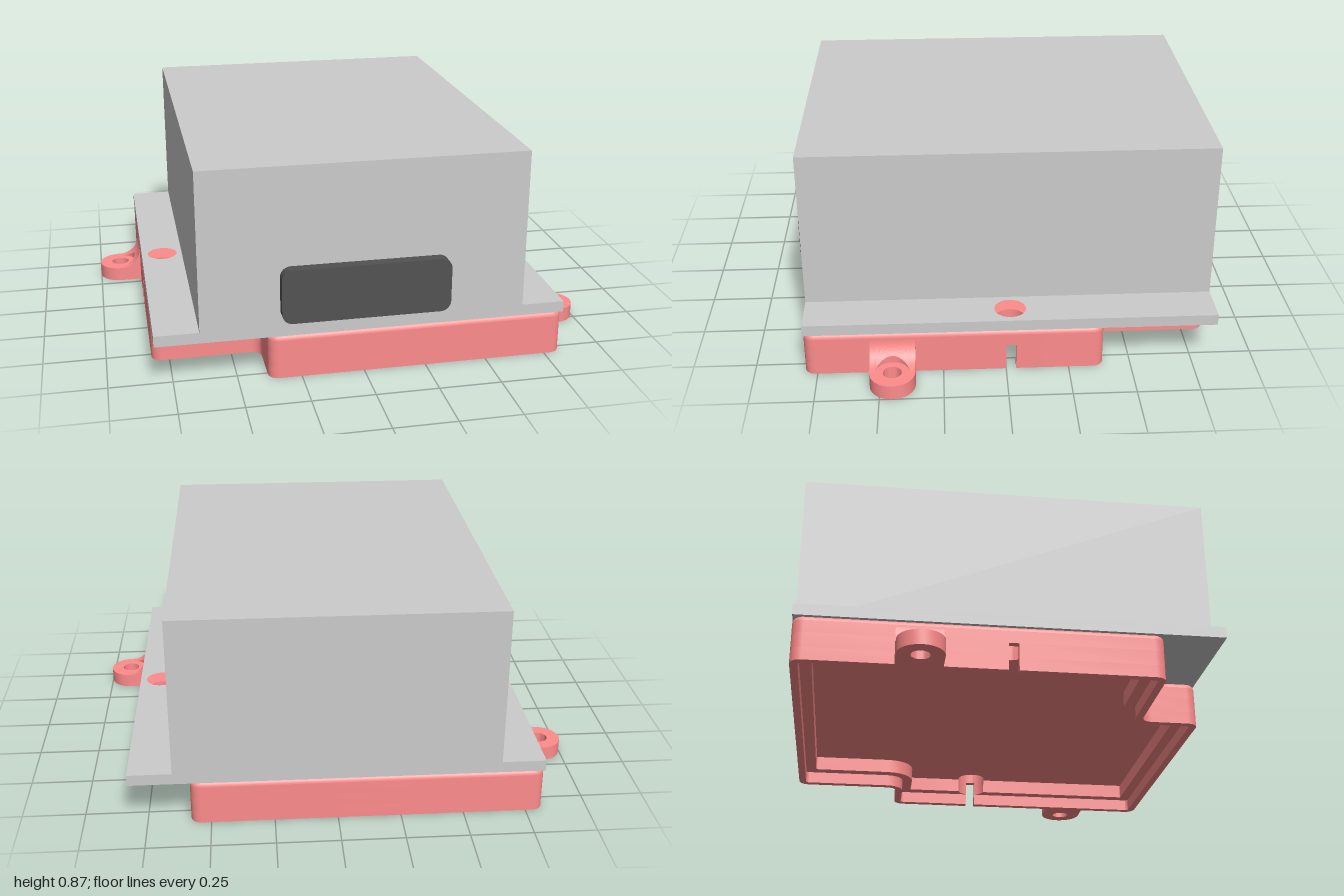
import * as THREE from 'three';
import { toCreasedNormals } from 'three/addons/utils/BufferGeometryUtils.js';

const grey = new THREE.MeshStandardMaterial({ color: 0xcccccc });
const red = new THREE.MeshStandardMaterial({ color: 0xff8c8c, side: THREE.DoubleSide });
const dark = new THREE.MeshStandardMaterial({ color: 0x525252 });

const MID = -0.02;        // z of the screw holes and slots
const SLOT = 0.02;        // half width of a slot
const HOLE_X = 0.73, HOLE_R = 0.063;
const v = (x, z) => new THREE.Vector2(x, z);

function mesh(name, geometry, material) {
  const m = new THREE.Mesh(geometry, material);
  m.name = name;
  return m;
}

// Upright slab from a plan outline given as (x, z) points
function slab(points, y0, y1, holes = []) {
  const flip = (list) => list.map((p) => v(p.x, -p.y));
  const shape = new THREE.Shape(flip(points));
  holes.forEach((h) => shape.holes.push(new THREE.Path(flip(h))));
  const g = new THREE.ExtrudeGeometry(shape, { depth: y1 - y0, bevelEnabled: false });
  g.rotateX(-Math.PI / 2).translate(0, y0, 0);
  return toCreasedNormals(g, 0.6);
}

function circle(cx, cz, r, n = 40) {
  return Array.from({ length: n }, (_, i) => {
    const a = (i / n) * Math.PI * 2;
    return v(cx + r * Math.cos(a), cz + r * Math.sin(a));
  });
}

// Open path with its inner corners rounded; inset tightens convex corners
function rounded(points, inset) {
  const out = [points[0]];
  for (let i = 1; i < points.length - 1; i++) {
    const a = points[i - 1], b = points[i], c = points[i + 1];
    const d0 = b.clone().sub(a).normalize(), d1 = c.clone().sub(b).normalize();
    const r = Math.max(0.004, d0.cross(d1) > 0 ? 0.042 - inset : 0.042 + inset);
    const start = b.clone().addScaledVector(d0, -r), end = b.clone().addScaledVector(d1, r);
    const centre = start.clone().addScaledVector(d1, r);
    for (let k = 0; k <= 6; k++) {
      const t = (k / 6) * Math.PI / 2;
      out.push(centre.clone()
        .addScaledVector(d1, -r * Math.cos(t))
        .addScaledVector(d0, r * Math.sin(t)));
    }
    out.push();
  }
  out.push(points[points.length - 1]);
  return out;
}

// Front and back halves of the stepped tray outline, moved inward by i
const frontHalf = (i, gap) => rounded([
  v(0.82 - i, MID + gap), v(0.82 - i, 0.8 - i), v(-0.38 + i, 0.8 - i),
  v(-0.38 + i, 0.56 - i), v(-0.82 + i, 0.56 - i), v(-0.82 + i, MID + gap)], i);
const backHalf = (i, gap) => rounded([
  v(-0.82 + i, MID - gap), v(-0.82 + i, -0.84 + i), v(0.58 - i, -0.84 + i),
  v(0.58 - i, -0.39 + i), v(0.82 - i, -0.39 + i), v(0.82 - i, MID - gap)], i);
const outline = (i) => [...frontHalf(i, SLOT), ...backHalf(i, SLOT)];

// Arc of the screw hole that bites into the ledge
function bite(sx, sz) {
  const a0 = Math.asin(SLOT / HOLE_R), a1 = Math.acos(0.015 / HOLE_R);
  return Array.from({ length: 7 }, (_, k) => {
    const a = a0 + (a1 - a0) * (k / 6);
    return v(sx * (HOLE_X + HOLE_R * Math.cos(a)), MID + sz * HOLE_R * Math.sin(a));
  });
}

// Surface through rows of equally many points
function loft(rows, closed) {
  const n = rows[0].length, index = [];
  for (let r = 0; r < rows.length - 1; r++) {
    for (let k = 0; k < (closed ? n : n - 1); k++) {
      const a = r * n + k, b = r * n + (k + 1) % n;
      index.push(a, a + n, b, b, a + n, b + n);
    }
  }
  const g = new THREE.BufferGeometry();
  g.setAttribute('position', new THREE.Float32BufferAttribute(rows.flat(2), 3));
  g.setIndex(index);
  return toCreasedNormals(g, 0.6);
}

function makeTray() {
  const tray = new THREE.Group();
  tray.name = 'tray';
  const holes = [1, -1].map((s) => circle(s * HOLE_X, MID, HOLE_R));
  tray.add(mesh('trayTop', slab(outline(0), 0.11, 0.16, holes), red));
  tray.add(mesh('trayTopCore', slab(outline(0.02), 0.16, 0.18, holes), red));

  // Rounded upper edge
  const rows = [0, 1, 2, 3, 4, 5].map((k) => {
    const t = (k / 5) * Math.PI / 2;
    return outline(0.02 * (1 - Math.cos(t))).map((p) => [p.x, 0.16 + 0.02 * Math.sin(t), p.y]).reverse();
  });
  tray.add(mesh('trayRoundedEdge', loft(rows, true), red));

  // Thin rim below, thicker ledge above, each split by the two slots
  [[frontHalf, 1], [backHalf, -1]].forEach(([half, s]) => {
    const rim = [...half(0, SLOT), ...half(0.03, SLOT).reverse()];
    const ledge = [...half(0, SLOT), ...bite(-s, s),
      ...half(0.075, 0.0612).reverse(), ...bite(s, s).reverse()];
    tray.add(mesh('trayRim', slab(rim, 0, 0.05), red));
    tray.add(mesh('trayLedge', slab(ledge, 0.05, 0.11), red));
  });
  return tray;
}

// Mounting ear on the +x side, centred on z = 0
function makeEar() {
  const ear = new THREE.Group();
  ear.name = 'mountingEar';
  const cx = 0.91, R = 0.09, bore = 0.068, top = 0.06;
  const plan = [v(0.81, -R)];
  for (let k = 0; k <= 24; k++) {
    const a = -Math.PI / 2 + (k / 24) * Math.PI;
    plan.push(v(cx + R * Math.cos(a), R * Math.sin(a)));
  }
  plan.push(v(0.81, R));
  ear.add(mesh('earPlate', slab(plan, 0, top, [circle(cx, 0, 0.037, 28)]), red));

  // Concave fillet to the tray wall, cut away around the screw head
  const height = (x) => top + R - Math.sqrt(Math.max(0, R * R - (x - cx) ** 2));
  const rows = [];
  const slices = [-R];
  for (let k = 0; k <= 24; k++) slices.push(-bore * Math.cos((k / 24) * Math.PI));
  slices.push(R);
  slices.forEach((z) => {
    const end = cx - Math.sqrt(Math.max(0, bore * bore - z * z));
    const row = [];
    for (let k = 0; k <= 10; k++) {
      const x = 0.82 + (end - 0.82) * (1 - Math.cos((k / 10) * Math.PI / 2));
      row.push([x, height(x), z]);
    }
    row.push([end, top, z]);
    rows.push(row);
  });
  ear.add(mesh('earFillet', loft(rows.reverse(), false), red));
  [rows[0], rows[rows.length - 1]].forEach((row) => {
    const side = [row, row.map(([x, , z]) => [x, top, z])];
    ear.add(mesh('earFilletSide', loft(side, false), red));
  });
  return ear;
}

export function createModel() {
  const model = new THREE.Group();
  model.name = 'enclosure';

  // Main housing on a flange with two screw holes
  const box = new THREE.BoxGeometry(1.29, 0.645, 1.64).translate(0, 0.5475, MID);
  model.add(mesh('housing', box, grey));
  const plate = [v(-0.82, -0.84), v(0.82, -0.84), v(0.82, 0.8), v(-0.82, 0.8)];
  const holes = [1, -1].map((s) => circle(s * HOLE_X, MID, HOLE_R));
  model.add(mesh('flange', slab(plate, 0.18, 0.225, holes), grey));

  // Rounded connector block on the front
  const w = 0.333, h = 0.11, r = 0.042;
  const s = new THREE.Shape();
  s.absarc(w - r, h - r, r, 0, Math.PI / 2);
  s.absarc(-w + r, h - r, r, Math.PI / 2, Math.PI);
  s.absarc(-w + r, -h + r, r, Math.PI, Math.PI * 1.5);
  s.absarc(w - r, -h + r, r, Math.PI * 1.5, Math.PI * 2);
  const block = new THREE.ExtrudeGeometry(s, { depth: 0.045, bevelEnabled: false, curveSegments: 8 });
  const connector = mesh('connector', toCreasedNormals(block, 0.6), dark);
  connector.position.set(0, 0.36, 0.8);
  model.add(connector);

  model.add(makeTray());

  // Ears on opposite sides
  const leftEar = makeEar();
  leftEar.position.z = 0.45;
  const rightEar = makeEar();
  rightEar.rotation.y = Math.PI;
  rightEar.position.z = -0.37;
  model.add(leftEar, rightEar);
  return model;
}
